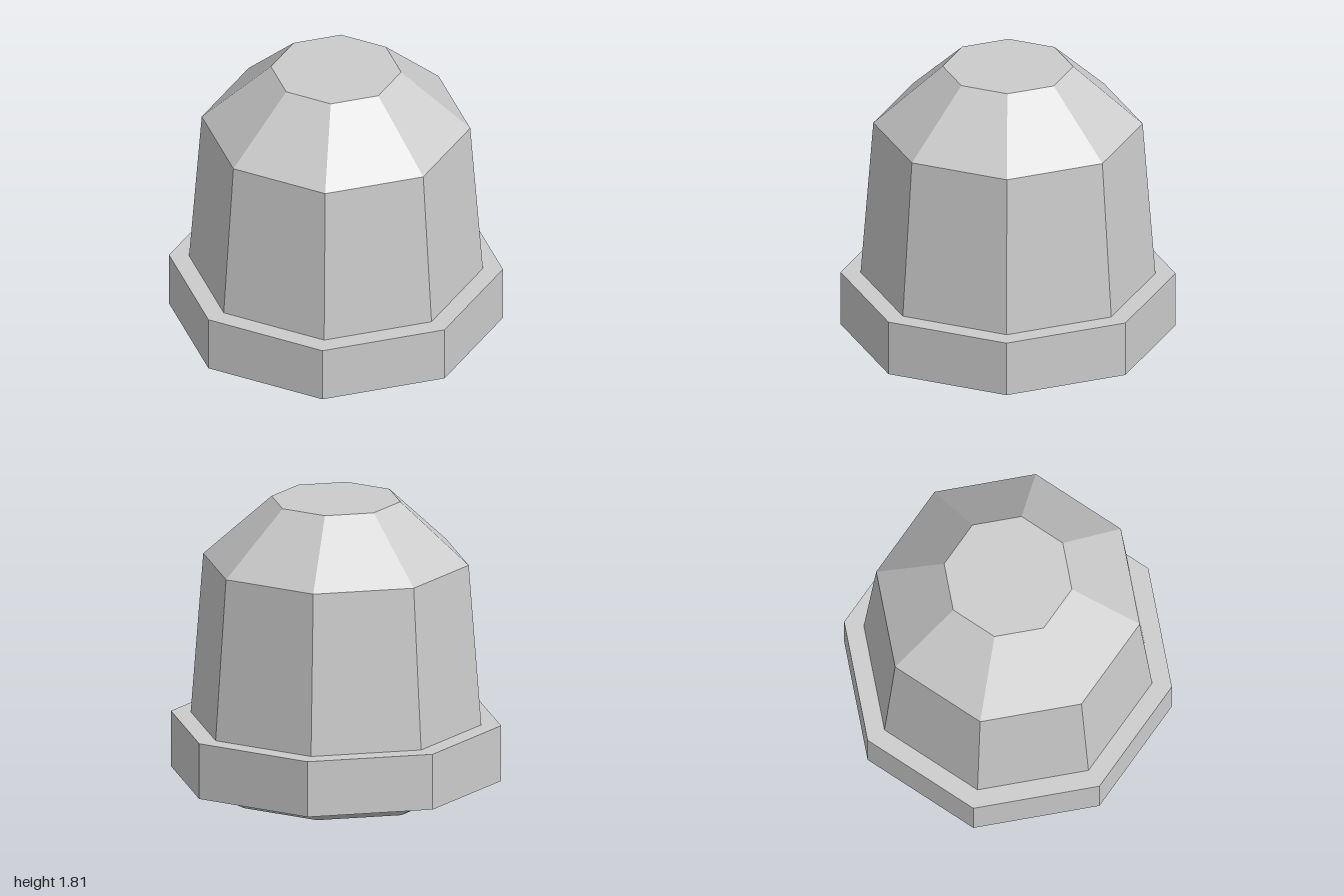
import * as THREE from 'three';

const SIDES = 8;

export function createModel() {
  const group = new THREE.Group();
  const grey = new THREE.MeshStandardMaterial({ color: 0xcccccc, flatShading: true });
  grey.name = 'light grey';

  // Straight or tapered octagonal section between two heights
  function section(name, y0, y1, rBottom, rTop, open = false) {
    const geometry = new THREE.CylinderGeometry(rTop, rBottom, y1 - y0, SIDES, 1, open);
    const mesh = new THREE.Mesh(geometry, grey);
    mesh.name = name;
    mesh.position.y = (y0 + y1) / 2;
    group.add(mesh);
  }

  // Flat octagonal ring facing up or down
  function ring(name, y, rInner, rOuter, up) {
    const mesh = new THREE.Mesh(new THREE.RingGeometry(rInner, rOuter, SIDES), grey);
    mesh.name = name;
    mesh.rotation.x = up ? -Math.PI / 2 : Math.PI / 2;
    mesh.position.y = y;
    group.add(mesh);
  }

  // Flat octagonal end face
  function disc(name, y, r, up) {
    const mesh = new THREE.Mesh(new THREE.CircleGeometry(r, SIDES), grey);
    mesh.name = name;
    mesh.rotation.x = up ? -Math.PI / 2 : Math.PI / 2;
    mesh.position.y = y;
    group.add(mesh);
  }

  // Bevelled foot under the flange
  disc('footBottom', 0, 0.675, false);
  section('footBevel', 0, 0.107, 0.675, 0.877, true);

  // Wide flange
  ring('flangeUnderside', 0.107, 0.877, 1, false);
  section('flangeWall', 0.107, 0.449, 1, 1, true);
  ring('flangeTop', 0.449, 0.88, 1, true);

  // Tapered body and chamfered crown
  section('body', 0.449, 1.433, 0.88, 0.804, true);
  section('crown', 1.433, 1.807, 0.804, 0.39, true);
  disc('crownTop', 1.807, 0.39, true);

  return group;
}
